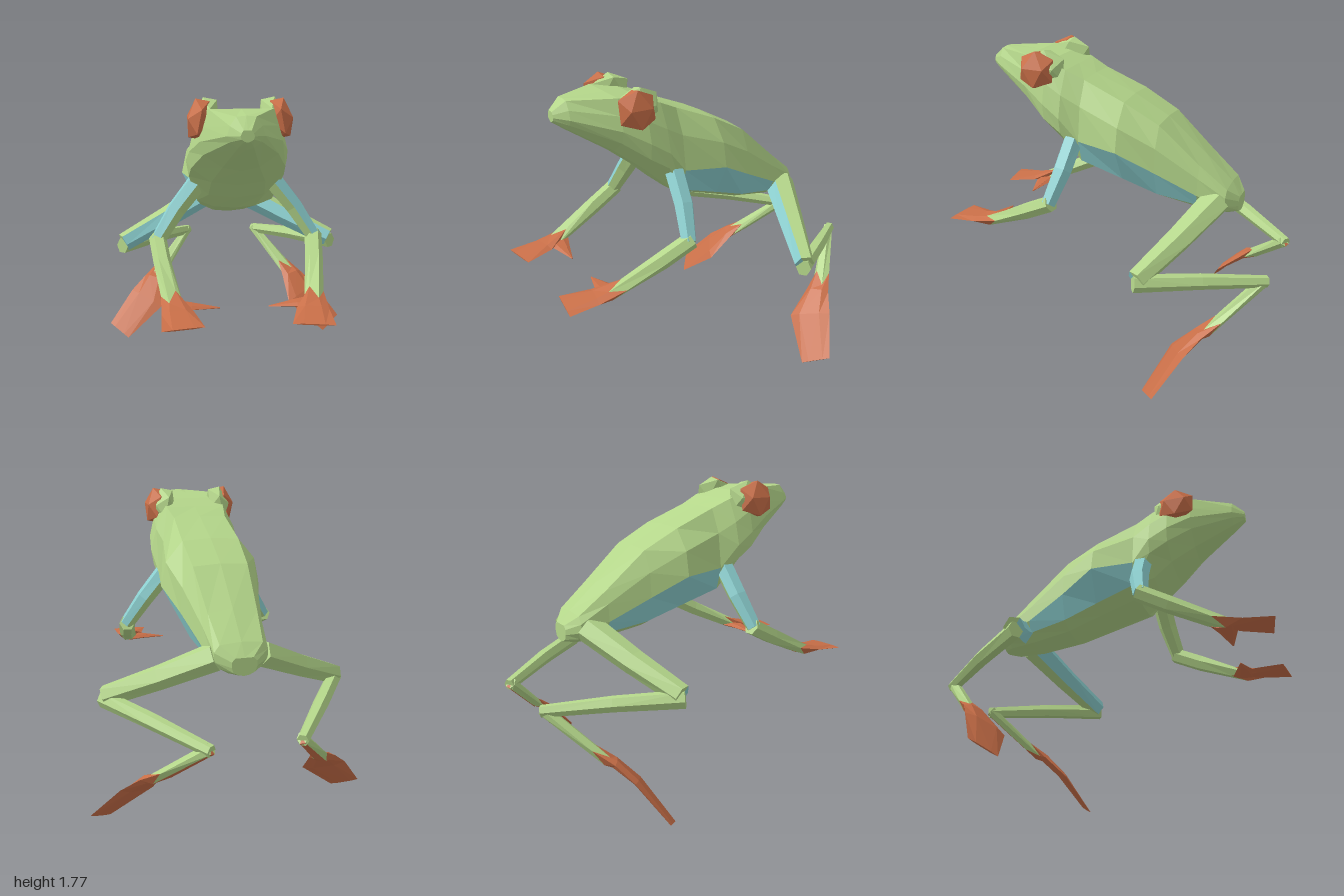
import * as THREE from 'three';

const material = (color) => new THREE.MeshStandardMaterial({ color, flatShading: true });
const MATERIALS = {
  green: material(0xb4d68a),
  blue: material(0x8cd0d0),
  red: material(0xc96f48),
};
const V = (x, y, z) => new THREE.Vector3(x, y, z);

// Closed skin over a series of rings; paint(segment, side) picks each quad's colour.
function skin(name, rings, paint, mirrored = false) {
  const buckets = {};
  const tri = (color, a, b, c) => {
    const list = (buckets[color] ??= []);
    for (const p of mirrored ? [a, c, b] : [a, b, c]) list.push(mirrored ? -p.x : p.x, p.y, p.z);
  };
  const n = rings[0].length;
  for (let i = 0; i < rings.length - 1; i++) {
    for (let k = 0; k < n; k++) {
      const a = rings[i][k], b = rings[i][(k + 1) % n];
      const c = rings[i + 1][(k + 1) % n], d = rings[i + 1][k];
      const color = paint(i, k);
      tri(color, a, b, c);
      tri(color, a, c, d);
    }
  }
  // End caps
  const last = rings.length - 1;
  const middle = (ring) => ring.reduce((s, p) => s.add(p), V(0, 0, 0)).divideScalar(n);
  const start = middle(rings[0]), end = middle(rings[last]);
  for (let k = 0; k < n; k++) {
    const m = (k + 1) % n;
    tri(paint(0, k), start, rings[0][m], rings[0][k]);
    tri(paint(last - 1, k), end, rings[last][k], rings[last][m]);
  }
  const group = new THREE.Group();
  group.name = name;
  for (const [color, list] of Object.entries(buckets)) {
    const geometry = new THREE.BufferGeometry();
    geometry.setAttribute('position', new THREE.Float32BufferAttribute(list, 3));
    geometry.computeVertexNormals();
    const mesh = new THREE.Mesh(geometry, MATERIALS[color]);
    mesh.name = `${name} ${color}`;
    group.add(mesh);
  }
  return group;
}

// Six-sided limb. Stations: [x, y, z, half width, half thickness, zigzag];
// "up" is the thickness direction.
function limb(name, stations, up, paint, mirrored) {
  const centres = stations.map(([x, y, z]) => V(x, y, z));
  const rings = stations.map(([, , , w, h, zig = 0], i) => {
    const t = centres[Math.min(i + 1, centres.length - 1)].clone()
      .sub(centres[Math.max(i - 1, 0)]).normalize();
    const a = up.clone().cross(t).normalize();
    const b = t.clone().cross(a);
    return Array.from({ length: 6 }, (_, k) => {
      const angle = (k * Math.PI) / 3;
      return centres[i].clone()
        .addScaledVector(a, w * Math.cos(angle))
        .addScaledVector(b, h * Math.sin(angle))
        .addScaledVector(t, k % 2 ? zig : 0);
    });
  });
  return skin(name, rings, paint, mirrored);
}

// Body sections from nose to rump:
// z, spine y, then half width and y for back edge, upper flank, widest, lower flank, belly, then keel y
const SECTIONS = [
  [0.85, 1.69, 0.02, 1.69, 0.03, 1.675, 0.035, 1.66, 0.03, 1.645, 0.015, 1.635, 1.63],
  [0.78, 1.75, 0.05, 1.745, 0.08, 1.70, 0.095, 1.65, 0.08, 1.62, 0.04, 1.59, 1.58],
  [0.54, 1.75, 0.17, 1.75, 0.20, 1.66, 0.22, 1.58, 0.20, 1.51, 0.10, 1.44, 1.42],
  [0.40, 1.73, 0.19, 1.73, 0.24, 1.62, 0.27, 1.50, 0.26, 1.41, 0.15, 1.33, 1.31],
  [0.29, 1.69, 0.18, 1.69, 0.25, 1.56, 0.285, 1.43, 0.27, 1.34, 0.16, 1.23, 1.21],
  [0.18, 1.645, 0.16, 1.64, 0.23, 1.50, 0.26, 1.30, 0.22, 1.17, 0.12, 1.13, 1.12],
  [-0.07, 1.55, 0.17, 1.54, 0.27, 1.42, 0.30, 1.28, 0.20, 1.09, 0.11, 1.05, 1.04],
  [-0.28, 1.44, 0.16, 1.43, 0.22, 1.31, 0.235, 1.17, 0.18, 1.02, 0.10, 0.98, 0.97],
  [-0.52, 1.24, 0.14, 1.22, 0.17, 1.15, 0.18, 1.05, 0.15, 0.98, 0.09, 0.94, 0.93],
  [-0.68, 1.10, 0.12, 1.09, 0.15, 1.05, 0.15, 1.00, 0.12, 0.96, 0.07, 0.93, 0.92],
  [-0.74, 1.03, 0.05, 1.03, 0.07, 1.01, 0.07, 0.98, 0.06, 0.95, 0.03, 0.935, 0.93],
];

function buildBody() {
  const rings = SECTIONS.map((s) => {
    const z = s[0], half = [];
    for (let i = 2; i < 12; i += 2) half.push([s[i], s[i + 1]]);
    return [
      V(0, s[1], z),
      ...half.map(([x, y]) => V(x, y, z)),
      V(0, s[12], z),
      ...half.reverse().map(([x, y]) => V(-x, y, z)),
    ];
  });
  // Blue flank patches behind the arms
  return skin('body', rings, (i, k) => ((k === 3 || k === 8) && i >= 5 && i <= 7 ? 'blue' : 'green'));
}

function buildEye(side) {
  const group = new THREE.Group();
  group.name = side > 0 ? 'leftEye' : 'rightEye';
  const ball = (name, color, radius, position, scale) => {
    const mesh = new THREE.Mesh(new THREE.IcosahedronGeometry(radius, 0), MATERIALS[color]);
    mesh.name = name;
    mesh.position.set(position[0] * side, position[1], position[2]);
    mesh.scale.set(...scale);
    mesh.rotation.z = 0.2 * side;
    group.add(mesh);
  };
  ball('eyeball', 'red', 0.122, [0.217, 1.685, 0.455], [0.58, 1, 1]);
  ball('eyeSocket', 'green', 0.13, [0.175, 1.685, 0.415], [0.55, 0.95, 1]);
  return group;
}

function buildFrontLeg(mirrored) {
  const group = new THREE.Group();
  group.name = mirrored ? 'rightFrontLeg' : 'leftFrontLeg';
  const up = V(0, 1, 0.1);
  group.add(
    limb('upperArm', [
      [0.22, 1.29, 0.23, 0.06, 0.06],
      [0.34, 1.14, 0.245, 0.058, 0.055],
      [0.455, 0.965, 0.285, 0.045, 0.045],
    ], V(0.8, 0.6, 0), (i, k) => (k < 3 ? 'blue' : 'green'), mirrored),
    limb('forearmAndHand', [
      [0.455, 0.975, 0.265, 0.05, 0.05],
      [0.43, 0.885, 0.44, 0.05, 0.05],
      [0.39, 0.775, 0.66, 0.052, 0.035, 0.09],
      [0.355, 0.74, 0.82, 0.085, 0.018],
      [0.33, 0.725, 0.99, 0.11, 0.004],
    ], up, (i) => (i < 2 ? 'green' : 'red'), mirrored),
    limb('innerFinger', [
      [0.38, 0.745, 0.73, 0.08, 0.02],
      [0.28, 0.74, 0.735, 0.05, 0.014],
      [0.13, 0.725, 0.735, 0.004, 0.003],
    ], V(0, 1, 0), () => 'red', mirrored),
  );
  return group;
}

function buildHindLeg(mirrored) {
  const group = new THREE.Group();
  group.name = mirrored ? 'rightHindLeg' : 'leftHindLeg';
  group.add(
    // Thigh: green above and behind, blue on the front and underside
    limb('thigh', [
      [0.12, 1.01, -0.615, 0.095, 0.08],
      [0.40, 0.875, -0.495, 0.078, 0.07],
      [0.69, 0.745, -0.365, 0.058, 0.062],
    ], V(0, 1, 0), (i, k) => (k === 2 || k === 3 ? 'blue' : 'green'), mirrored),
    limb('shin', [
      [0.70, 0.725, -0.35, 0.045, 0.052],
      [0.48, 0.69, -0.66, 0.045, 0.045],
      [0.245, 0.635, -0.975, 0.033, 0.035],
    ], V(0, 1, 0), () => 'green', mirrored),
    // Foot: green instep, red web widening to the toes
    limb('foot', [
      [0.245, 0.645, -0.965, 0.03, 0.035],
      [0.43, 0.435, -0.765, 0.05, 0.03, 0.1],
      [0.50, 0.365, -0.67, 0.075, 0.026],
      [0.56, 0.255, -0.565, 0.13, 0.018],
      [0.755, 0.06, -0.46, 0.09, 0.004],
    ], V(0.16, 0.74, 0.66), (i, k) => (i > 0 || k === 4 ? 'red' : 'green'), mirrored),
  );
  return group;
}

export function createModel() {
  const model = new THREE.Group();
  model.name = 'treeFrog';
  model.add(buildBody());
  for (const side of [1, -1]) {
    model.add(buildEye(side), buildFrontLeg(side < 0), buildHindLeg(side < 0));
  }
  return model;
}
